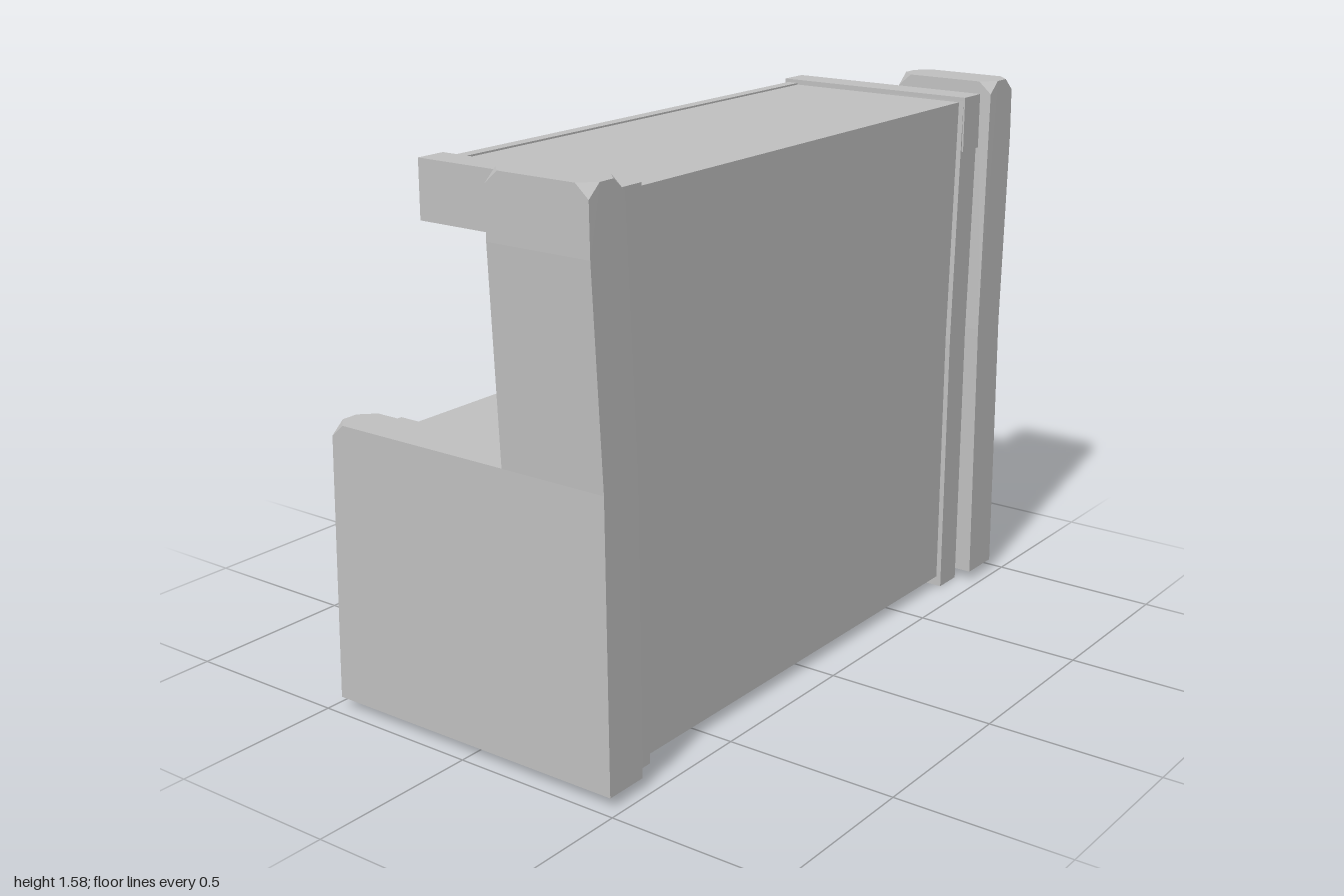
import * as THREE from 'three';
import { ConvexGeometry } from 'three/addons/geometries/ConvexGeometry.js';

const grey = new THREE.MeshStandardMaterial({ color: 0xbfbfbf });
grey.name = 'plain grey';

function add(parent, name, geometry) {
  const mesh = new THREE.Mesh(geometry, grey);
  mesh.name = name;
  parent.add(mesh);
  return mesh;
}

// box given by its limits on each axis
function block(parent, name, [x0, x1], [y0, y1], [z0, z1]) {
  const g = new THREE.BoxGeometry(x1 - x0, y1 - y0, z1 - z0);
  g.translate((x0 + x1) / 2, (y0 + y1) / 2, (z0 + z1) / 2);
  return add(parent, name, g);
}

function hull(parent, name, points) {
  return add(parent, name, new ConvexGeometry(points.map((p) => new THREE.Vector3(...p))));
}

// three points that replace a top corner, cutting it off; sx and sz point inwards
const cutCorner = (x, y, z, sx, sz) => [
  [x + sx * 0.04, y, z], [x, y - 0.035, z], [x, y, z + sz * 0.04],
];

// one end of the cabinet; side is +1 or -1 along z
function buildEnd(side) {
  const end = new THREE.Group();
  end.name = side > 0 ? 'frontEnd' : 'backEnd';
  const Z = (a, b) => (side > 0 ? [a, b] : [-b, -a]);
  const s = -side;
  const inner = 0.84 * side, outer = 0.97 * side;
  const innerTop = 0.87 * side, outerTop = side;

  // outer panel: low part below the counter, tall part leaning outwards
  hull(end, 'lowerEndPanel', [
    [-0.475, 0.03, inner], [-0.475, 0.03, outer], [0.47, 0.03, inner], [0.47, 0.03, outer],
    [0.463, 0.825, inner], [0.463, 0.825, outer],
    ...cutCorner(-0.455, 0.825, inner, 1, -s), ...cutCorner(-0.455, 0.825, outer, 1, s),
  ]);
  hull(end, 'upperEndPanel', [
    [0.14, 0.825, inner], [0.14, 0.825, outer], [0.463, 0.825, inner], [0.463, 0.825, outer],
    [0.14, 1.4, outerTop], [0.457, 1.4, outerTop],
    ...cutCorner(0.14, 1.575, innerTop, 1, -s), ...cutCorner(0.14, 1.575, outerTop, 1, s),
    ...cutCorner(0.455, 1.575, innerTop, -1, -s), ...cutCorner(0.455, 1.575, outerTop, -1, s),
  ]);

  // inner post with the same lean
  block(end, 'lowerPost', [0.18, 0.42], [side > 0 ? 0.015 : 0, 0.81], Z(0.745, 0.837));
  const upper = [];
  for (const x of [0.165, 0.42]) {
    for (const [y, a, b] of [[0.81, 0.745, 0.837], [1.53, 0.77, 0.86]]) {
      upper.push([x, y, a * side], [x, y, b * side]);
    }
  }
  hull(end, 'upperPost', upper);

  // rails and stile on the inside of the panel
  block(end, 'roofRail', [-0.21, 0.425], [1.38, 1.54], Z(0.77, 0.86));
  block(end, 'counterRail', [-0.42, 0.2], [0.62, 0.79], Z(0.75, 0.85));
  block(end, 'endStile', [-0.4, 0.2], [0.03, 0.63], Z(0.77, 0.85));
  return end;
}

// framed door with an inset panel and a round knob
function buildDoor(name, z0, z1, knobZ) {
  const door = new THREE.Group();
  door.name = name;
  const y0 = 0.12, y1 = 0.51, w = 0.05;
  const depth = [-0.43, -0.36];
  block(door, 'doorTopRail', depth, [y1 - w, y1], [z0, z1]);
  block(door, 'doorBottomRail', depth, [y0, y0 + w], [z0, z1]);
  block(door, 'doorStile', depth, [y0 + w, y1 - w], [z0, z0 + w]);
  block(door, 'doorStile', depth, [y0 + w, y1 - w], [z1 - w, z1]);
  block(door, 'doorPanel', [-0.405, -0.36], [y0 + w, y1 - w], [z0 + w, z1 - w]);
  const knob = add(door, 'knob', new THREE.SphereGeometry(0.025, 16, 10));
  knob.scale.x = 0.7;
  knob.position.set(-0.412, 0.34, knobZ);
  return door;
}

export function createModel() {
  const model = new THREE.Group();
  model.name = 'cabinet';
  model.add(buildEnd(1), buildEnd(-1));

  // body, counter and face frame
  block(model, 'cabinetBody', [-0.37, 0.2], [0.03, 0.62], [-0.84, 0.84]);
  block(model, 'counter', [-0.41, 0.2], [0.6, 0.765], [-0.8, 0.8]);
  block(model, 'sill', [-0.41, -0.36], [0.03, 0.065], [-0.8, 0.8]);
  block(model, 'centreStile', [-0.41, -0.36], [0.06, 0.61], [-0.07, 0.03]);

  // doors on the counter side
  model.add(buildDoor('firstDoor', -0.77, -0.16, -0.27));
  model.add(buildDoor('secondDoor', 0.12, 0.73, 0.21));

  // thick back and the roof with its fascia
  block(model, 'backPanel', [0.19, 0.405], [0.03, 1.525], [-0.775, 0.775]);
  block(model, 'roof', [-0.17, 0.2], [1.41, 1.525], [-0.8, 0.8]);
  block(model, 'roofFascia', [-0.2, -0.165], [1.39, 1.53], [-0.8, 0.8]);

  // sloping divider standing on the counter
  const divider = new THREE.Shape([
    [0.2, 0.75], [-0.38, 0.75], [-0.165, 1.42], [0.2, 1.42],
  ].map(([x, y]) => new THREE.Vector2(x, y)));
  const plate = new THREE.ExtrudeGeometry(divider, { depth: 0.05, bevelEnabled: false });
  plate.translate(0, 0, -0.043);
  add(model, 'divider', plate);
  return model;
}
